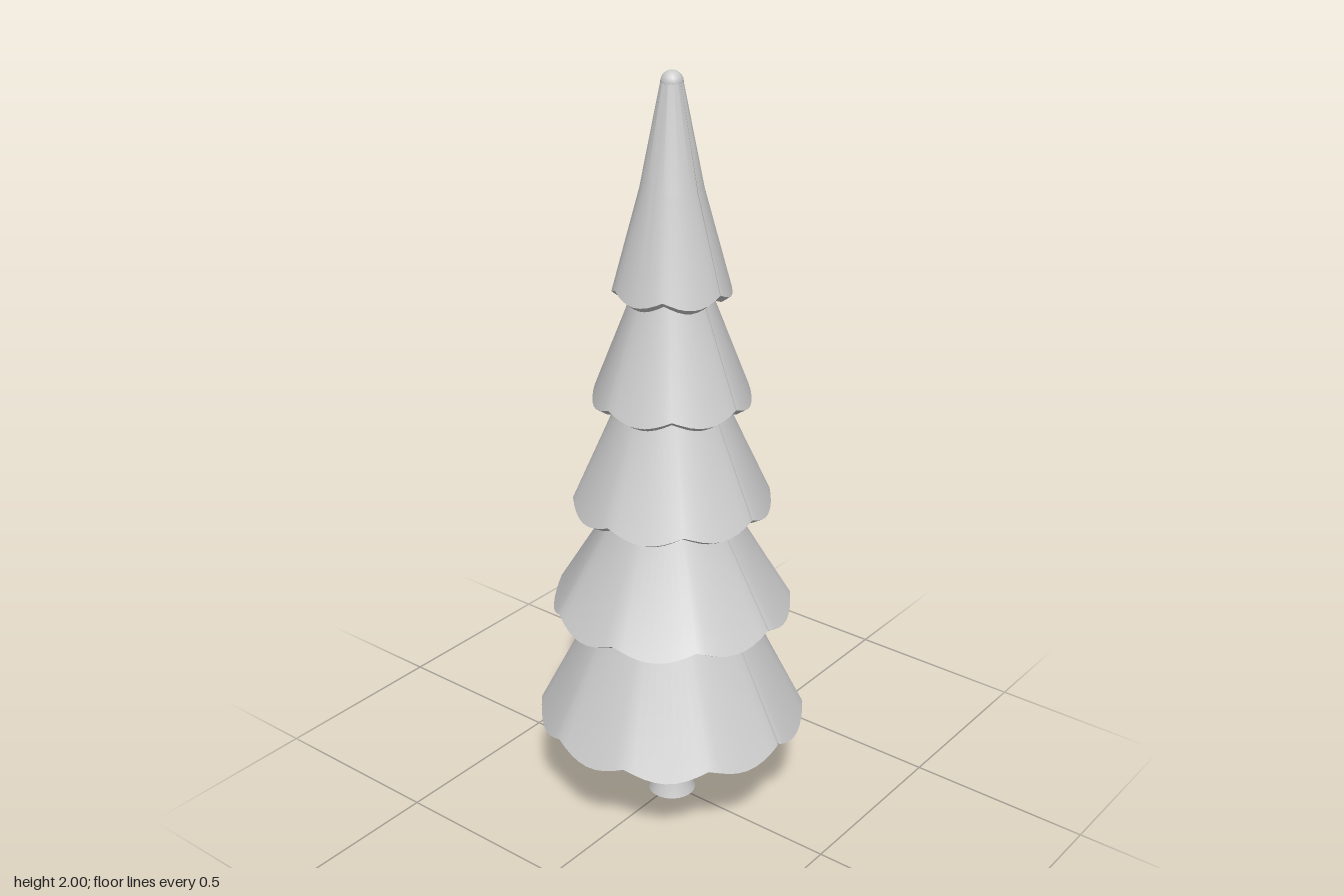
import * as THREE from 'three';
import { toCreasedNormals } from 'three/addons/utils/BufferGeometryUtils.js';

const grey = new THREE.MeshStandardMaterial({ color: 0xcccccc, side: THREE.DoubleSide });
grey.name = 'grey';

const GAP = 0.02; // angle of the narrow slit on the +x side

// Thick conical skirt with a scalloped hem; outer = [radius, y] from hem to top
function makeTier(name, lobes, outer, drop, thickness) {
  const [hem, ...rest] = outer;
  const points = [];
  // inner wall from top to hem, then outer wall from hem to top
  for (const [r, y] of [...rest].reverse()) {
    points.push(new THREE.Vector2(Math.max(r - thickness, 0.004), y - 0.01));
  }
  points.push(new THREE.Vector2(hem[0] - thickness, hem[1] - 0.015));
  for (const [r, y] of outer) points.push(new THREE.Vector2(r, y));
  points.push(points[0].clone());

  const geometry = new THREE.LatheGeometry(points, lobes * 8, Math.PI / 2 + GAP / 2, Math.PI * 2 - GAP);
  // pull the lobes down, fading out up the skirt
  const pos = geometry.attributes.position;
  const top = rest[0][1];
  for (let i = 0; i < pos.count; i++) {
    const y = pos.getY(i);
    const angle = Math.atan2(pos.getZ(i), pos.getX(i));
    const fade = THREE.MathUtils.clamp((top - y) / (top - hem[1]), 0, 1);
    pos.setY(i, y - drop * fade * Math.abs(Math.sin(lobes * angle / 2)));
  }
  const mesh = new THREE.Mesh(toCreasedNormals(geometry, 0.6), grey);
  mesh.name = name;
  return mesh;
}

export function createModel() {
  const tree = new THREE.Group();
  tree.name = 'tree';

  // Trunk with a flared foot, running up inside the tiers
  const trunkProfile = [
    [0, 0], [0.065, 0], [0.055, 0.03], [0.046, 0.08], [0.041, 0.14], [0.039, 0.24], [0.035, 0.9], [0.012, 1.8],
  ].map(([r, y]) => new THREE.Vector2(r, y));
  const trunk = new THREE.Mesh(toCreasedNormals(new THREE.LatheGeometry(trunkProfile, 32), 0.7), grey);
  trunk.name = 'trunk';
  tree.add(trunk);

  // Five tiers of branches, one lobe fewer on each one up
  const tiers = [
    [10, [[0.355, 0.285], [0.195, 0.59], [0.10, 0.84]], 0.03, 0.03],
    [9, [[0.313, 0.615], [0.145, 0.89], [0.08, 1.12]], 0.028, 0.028],
    [8, [[0.255, 0.91], [0.135, 1.17], [0.065, 1.40]], 0.026, 0.026],
    [7, [[0.2, 1.195], [0.1, 1.45], [0.05, 1.65]], 0.023, 0.023],
    [6, [[0.148, 1.48], [0.078, 1.72], [0.027, 1.975]], 0.022, 0.02],
  ];
  tiers.forEach(([lobes, outer, drop, thickness], i) => {
    tree.add(makeTier('branchTier' + (i + 1), lobes, outer, drop, thickness));
  });

  // Rounded tip
  const tip = new THREE.Mesh(new THREE.SphereGeometry(0.028, 16, 12), grey);
  tip.name = 'tip';
  tip.position.y = 1.972;
  tree.add(tip);

  return tree;
}
